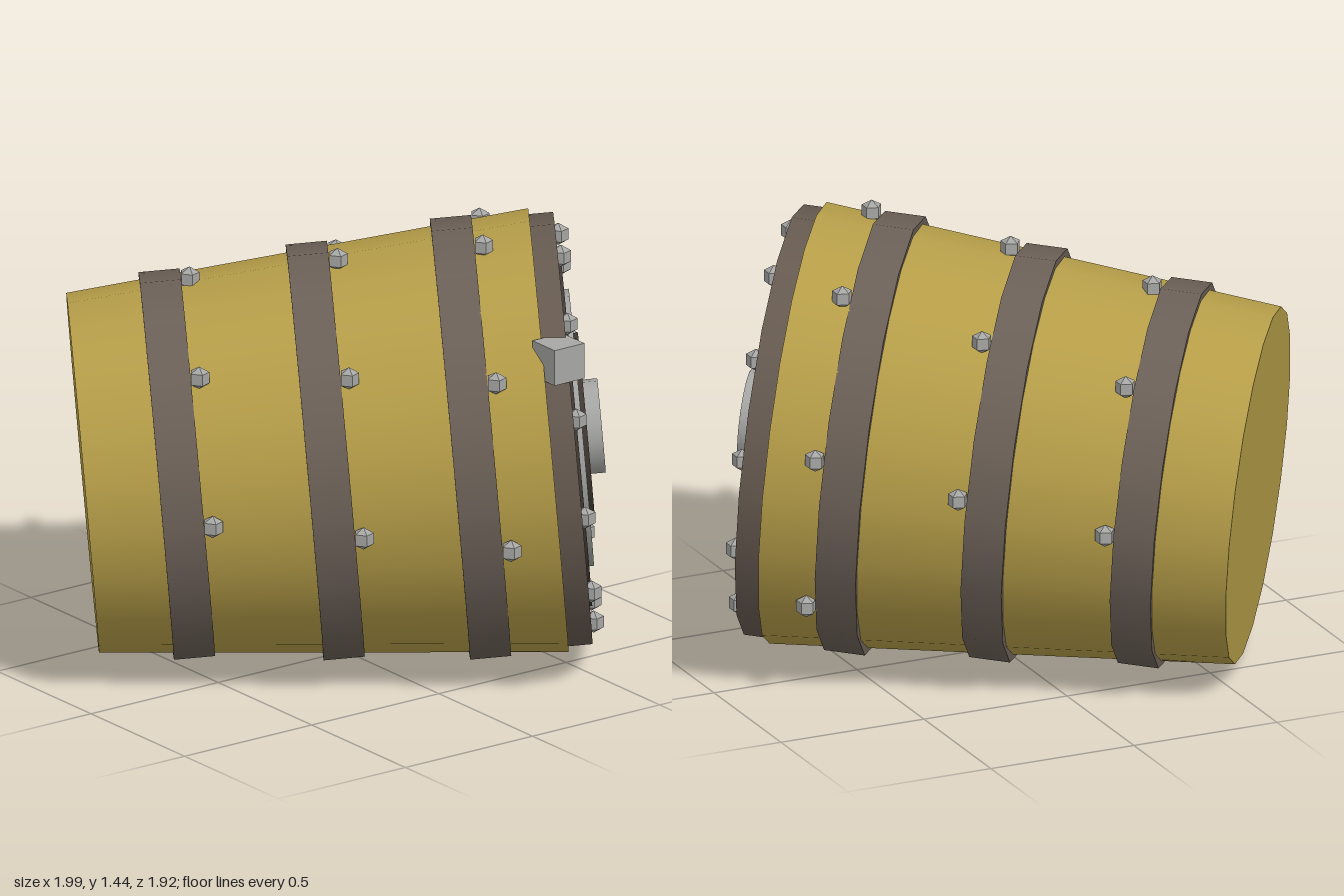
import * as THREE from 'three';

const material = (name, color) => Object.assign(new THREE.MeshStandardMaterial({ color }), { name });

export function createModel() {
  const gold = material('gold', 0xb59d48);
  const brown = material('brown', 0x6b6057);
  const rimBrown = material('rim brown', 0x665a50);
  const dark = material('dark brown', 0x413a34);
  const grey = material('grey', 0xa6a6a4);

  const model = new THREE.Group();
  model.name = 'barrel';

  // Tilted frame: local z runs along the barrel axis towards the lid
  const frame = new THREE.Group();
  frame.name = 'tiltedBarrel';
  frame.position.set(0.013, 0.682, -0.02);
  frame.rotation.set(THREE.MathUtils.degToRad(-4.8), THREE.MathUtils.degToRad(55.7), 0, 'YXZ');
  model.add(frame);

  const drum = (name, mat, z0, z1, r0, r1, sides) => {
    const geo = new THREE.CylinderGeometry(r1, r0, z1 - z0, sides).rotateX(Math.PI / 2);
    const mesh = new THREE.Mesh(geo, mat);
    mesh.name = name;
    mesh.position.z = (z0 + z1) / 2;
    frame.add(mesh);
  };

  // Tapered body
  drum('body', gold, -0.834, 0.647, 0.572, 0.706, 20);

  // Lid: stacked discs
  drum('lidRim', rimBrown, 0.64, 0.725, 0.688, 0.688, 16);
  drum('lidOuterDisc', dark, 0.7, 0.735, 0.568, 0.568, 16);
  drum('lidRing', grey, 0.72, 0.752, 0.441, 0.441, 16);
  drum('lidInnerDisc', dark, 0.74, 0.768, 0.3, 0.3, 16);
  drum('hub', grey, 0.76, 0.816, 0.15, 0.15, 16);

  // Faceted studs that all stay upright
  const studGeo = new THREE.SphereGeometry(0.037, 5, 3).toNonIndexed();
  studGeo.computeVertexNormals();
  const upright = frame.quaternion.clone().invert();
  const stud = (name, degrees, radius, z) => {
    const a = THREE.MathUtils.degToRad(degrees);
    const mesh = new THREE.Mesh(studGeo, grey);
    mesh.name = name;
    mesh.position.set(Math.cos(a) * radius, Math.sin(a) * radius, z);
    mesh.quaternion.copy(upright);
    frame.add(mesh);
  };

  // Straight hoops, each with a row of studs along its front edge
  const hoops = [
    { z: -0.6, r: 0.617, roll: 0, first: 0 },
    { z: -0.128, r: 0.662, roll: 6, first: 0 },
    { z: 0.334, r: 0.702, roll: 12, first: -1 },
  ];
  for (const { z, r, roll, first } of hoops) {
    drum('hoop', brown, z, z + 0.131, r, r, 16);
    for (let i = first; i <= 4; i++) stud('hoopStud', i * 45 + roll, r + 0.004, z + 0.158);
  }

  // Studs around the lid rim
  for (let i = 0; i < 12; i++) stud('lidStud', 98 + i * 30, 0.617, 0.735);

  // Square block beside the lid
  const block = new THREE.Mesh(new THREE.BoxGeometry(0.118, 0.118, 0.118), grey);
  block.name = 'cornerBlock';
  block.position.set(0.257, 1.162, 0.79);
  model.add(block);

  return model;
}
